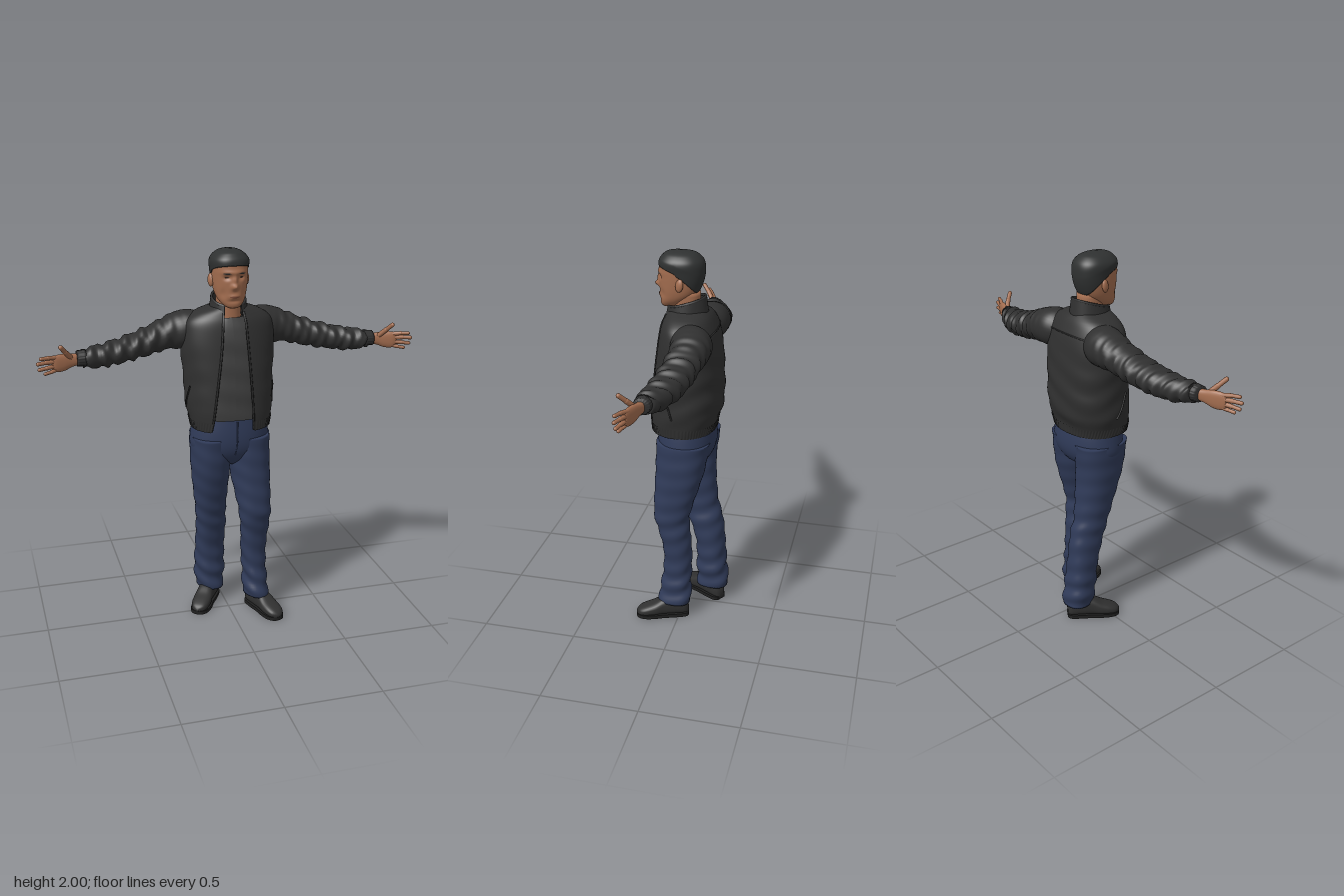
import * as THREE from 'three';

const material = (name, color, side = THREE.FrontSide) => {
  const m = new THREE.MeshStandardMaterial({ color, side });
  m.name = name;
  return m;
};
const TAU = Math.PI * 2;
const se = (v, e) => Math.sign(v) * Math.abs(v) ** (2 / e);
const bell = (v, c, w) => Math.exp(-(((v - c) / w) ** 2));

// Smooth interpolation of table rows, keyed on the first column
function at(rows, k) {
  let i = 0;
  while (i < rows.length - 2 && k > rows[i + 1][0]) i++;
  const a = rows[i], b = rows[i + 1], p = rows[i - 1] || a, q = rows[i + 2] || b;
  const h = b[0] - a[0], u = (k - a[0]) / h, u2 = u * u, u3 = u2 * u;
  return a.map((v, c) => {
    const m0 = (b[c] - p[c]) / (b[0] - p[0]) * h, m1 = (q[c] - v) / (q[0] - a[0]) * h;
    return v * (2 * u3 - 3 * u2 + 1) + m0 * (u3 - 2 * u2 + u) + b[c] * (3 * u2 - 2 * u3) + m1 * (u3 - u2);
  });
}

// Skin over rings: point(s, u) with u running once around; closed lofts get end caps
function loft(point, s0, s1, m, n, open = false) {
  const pos = [], idx = [], cols = open ? n + 1 : n;
  for (let i = 0; i <= m; i++)
    for (let j = 0; j < cols; j++) pos.push(...point(s0 + (s1 - s0) * i / m, j / n));
  for (let i = 0; i < m; i++) for (let j = 0; j < n; j++) {
    const a = i * cols + j, b = i * cols + (j + 1) % cols, c = a + cols, d = b + cols;
    idx.push(a, b, d, a, d, c);
  }
  if (!open) for (const i of [0, m]) {
    const mid = [0, 0, 0], base = i * n, k = pos.length / 3;
    for (let j = 0; j < n; j++) for (let c = 0; c < 3; c++) mid[c] += pos[(base + j) * 3 + c] / n;
    pos.push(...mid);
    for (let j = 0; j < n; j++) {
      const a = base + j, b = base + (j + 1) % n;
      idx.push(...(i ? [a, b, k] : [b, a, k]));
    }
  }
  const g = new THREE.BufferGeometry();
  g.setAttribute('position', new THREE.Float32BufferAttribute(pos, 3));
  g.setIndex(idx);
  g.computeVertexNormals();
  return g;
}

// Upright section row: [y, xMin, xMax, zMin, zMax]
const upright = (rows, e = 2.2, bump = () => 0) => (s, u) => {
  const [y, x1, x2, z1, z2] = at(rows, s), t = u * TAU, d = bump(y, t);
  return [(x1 + x2) / 2 + ((x2 - x1) / 2 + d) * se(Math.sin(t), e), y,
    (z1 + z2) / 2 + ((z2 - z1) / 2 + d) * se(Math.cos(t), e)];
};
// Sideways section row: [x, yMin, yMax, zMin, zMax]
const sideways = (rows, e = 2.2, bump = () => 0) => (s, u) => {
  const [x, y1, y2, z1, z2] = at(rows, s), t = u * TAU, d = bump(x, t);
  return [x, (y1 + y2) / 2 + ((y2 - y1) / 2 + d) * se(Math.cos(t), e),
    (z1 + z2) / 2 + ((z2 - z1) / 2 + d) * se(Math.sin(t), e)];
};

export function createModel() {
  const model = new THREE.Group();
  const jacketMat = material('jacket cloth', 0x303030, THREE.DoubleSide);
  const trimMat = material('jacket trim', 0x242424);
  const shirtMat = material('shirt cloth', 0x3f3f3f, THREE.DoubleSide);
  const denim = material('trouser cloth', 0x303b59);
  const skin = material('skin', 0xa36d4f);
  const hairMat = material('hair', 0x2f3131, THREE.DoubleSide);
  const shoeMat = material('shoe leather', 0x303030);
  const soleMat = material('shoe sole', 0x202020);
  const lipMat = material('lips', 0x7a4a38, THREE.DoubleSide);
  const eyeMat = material('eyes', 0x35241c, THREE.DoubleSide);
  const add = (name, geo, mat, parent = model) => {
    const mesh = new THREE.Mesh(geo, mat);
    mesh.name = name;
    parent.add(mesh);
    return mesh;
  };
  const cord = (name, pts, r, mat) => add(name, new THREE.TubeGeometry(
    new THREE.CatmullRomCurve3(pts.map(p => new THREE.Vector3(...p))), 32, r, 6), mat);

  // Trousers: hips and two legs, the left one stepping forward
  const hips = [[0.87, -0.03, 0.04, -0.06, 0.05], [0.91, -0.15, 0.16, -0.12, 0.1], [0.97, -0.198, 0.212, -0.155, 0.13],
    [1.05, -0.198, 0.212, -0.16, 0.137], [1.17, -0.18, 0.19, -0.14, 0.125]];
  add('hips', loft(upright(hips), 0.87, 1.17, 16, 40), denim);
  const folds = (y, t) => 0.004 * Math.sin(y * 62 + 2.2 * Math.sin(t + 0.6)) * (0.35 + bell(y, 0.17, 0.13) + 0.5 * bell(y, 0.55, 0.1))
    + 0.003 * Math.sin(3 * t + y * 9);
  const legs = {
    left: [[0.085, 0.085, 0.218, -0.06, 0.112], [0.13, 0.08, 0.215, -0.063, 0.11], [0.2, 0.08, 0.207, -0.06, 0.098], [0.35, 0.068, 0.2, -0.06, 0.09],
      [0.5, 0.06, 0.208, -0.05, 0.112], [0.6, 0.048, 0.214, -0.045, 0.138], [0.85, 0.008, 0.22, -0.12, 0.132], [1.03, 0.0, 0.214, -0.15, 0.13]],
    right: [[0.085, -0.142, 0.0, -0.226, -0.055], [0.13, -0.15, 0.004, -0.224, -0.055], [0.2, -0.156, 0.006, -0.215, -0.05], [0.35, -0.156, 0.0, -0.2, -0.04],
      [0.5, -0.158, 0.0, -0.183, 0.0], [0.6, -0.166, -0.005, -0.157, 0.03], [0.85, -0.193, 0.008, -0.145, 0.108], [1.03, -0.202, 0.01, -0.16, 0.13]],
  };
  for (const [side, rows] of Object.entries(legs))
    add(side + 'TrouserLeg', loft(upright(rows, 2.3, folds), 0.085, 1.03, 90, 40), denim);
  cord('trouserFly', [[0.012, 1.13, 0.131], [0.012, 1.04, 0.138], [0.005, 0.95, 0.124]], 0.004, denim);

  // Shoes: leather upper over a flat sole; rows are [z, half width, top]
  const shoe = [[-0.14, 0.022, 0.055], [-0.12, 0.04, 0.095], [-0.06, 0.045, 0.115], [0, 0.045, 0.105], [0.05, 0.05, 0.08],
    [0.1, 0.047, 0.062], [0.13, 0.034, 0.048], [0.145, 0.012, 0.034]];
  const upper = (s, u) => {
    const [z, w, h] = at(shoe, s), t = u * TAU;
    return [-w * se(Math.sin(t), 2.6), h / 2 + 0.004 + (h / 2 - 0.004) * se(Math.cos(t), 2.6), z];
  };
  const outline = [...shoe.map(r => [r[1] + 0.004, r[0]]), ...shoe.slice().reverse().map(r => [-r[1] - 0.004, r[0]])];
  const sole = new THREE.Shape();
  sole.setFromPoints(new THREE.SplineCurve(outline.map(([x, z]) => new THREE.Vector2(x, -z))).getPoints(60));
  for (const [side, x, z, turn] of [['left', 0.178, 0.088, 0.33], ['right', -0.113, -0.075, -0.56]]) {
    const foot = new THREE.Group();
    foot.name = side + 'Shoe';
    foot.position.set(x, 0, z);
    foot.rotation.y = turn;
    add('shoeUpper', loft(upper, -0.14, 0.145, 40, 28), shoeMat, foot);
    add('shoeSole', new THREE.ExtrudeGeometry(sole, { depth: 0.02, bevelEnabled: false }).rotateX(-Math.PI / 2), soleMat, foot);
    model.add(foot);
  }

  // Shirt
  const shirt = [[1.14, -0.185, 0.195, -0.14, 0.143], [1.3, -0.2, 0.2, -0.16, 0.138], [1.5, -0.2, 0.2, -0.15, 0.118],
    [1.6, -0.17, 0.17, -0.13, 0.098], [1.66, -0.085, 0.085, -0.09, 0.066]];
  add('shirt', loft(upright(shirt, 2.4, (y, t) => 0.002 * Math.sin(y * 50 + 3 * Math.sin(t))), 1.14, 1.66, 40, 48, true), shirtMat);

  // Jacket, open at the front; the last two columns are the x of its front edges
  const jacketRows = [[1.09, -0.198, 0.21, -0.16, 0.166, -0.125, 0.092], [1.135, -0.208, 0.218, -0.168, 0.169, -0.118, 0.09],
    [1.2, -0.222, 0.227, -0.19, 0.168, -0.11, 0.088], [1.35, -0.23, 0.232, -0.193, 0.155, -0.09, 0.08], [1.5, -0.242, 0.24, -0.182, 0.137, -0.07, 0.07],
    [1.6, -0.235, 0.235, -0.165, 0.122, -0.06, 0.063], [1.65, -0.215, 0.215, -0.145, 0.11, -0.055, 0.06],
    [1.685, -0.165, 0.165, -0.125, 0.095, -0.05, 0.055], [1.71, -0.095, 0.095, -0.1, 0.085, -0.045, 0.05]];
  const jacket = (s, u, out = 0) => {
    const e = 2.3, [y, x1, x2, z1, z2, gl, gr] = at(jacketRows, s), cx = (x1 + x2) / 2, a = (x2 - x1) / 2;
    const edge = x => Math.asin((Math.abs(x - cx) / a) ** (e / 2));
    const t = edge(gr) + u * (TAU - edge(gr) - edge(gl));
    const d = out + 0.0035 * Math.sin(y * 48 + 3 * Math.sin(t * 2)) * Math.sin(Math.PI * u) * bell(y, 1.3, 0.2);
    return [cx + (a + d) * se(Math.sin(t), e), y, (z1 + z2) / 2 + ((z2 - z1) / 2 + d) * se(Math.cos(t), e)];
  };
  add('jacketBody', loft(jacket, 1.09, 1.71, 60, 72, true), jacketMat);
  add('jacketHem', loft((s, u) => jacket(s, u, 0.004 + 0.0015 * Math.cos(u * TAU * 60)), 1.085, 1.135, 4, 240, true), jacketMat);
  const along = f => Array.from({ length: 12 }, (_, i) => f(i / 11));
  for (const [side, u, w] of [['left', 0, 0.2], ['right', 1, 0.8]]) {
    cord(side + 'ZipEdge', along(k => jacket(1.09 + 0.6 * k, u)), 0.006, trimMat);
    cord(side + 'PocketWelt', along(k => jacket(1.19 + 0.13 * k, w + (u ? 1 : -1) * 0.05 * k, 0.001)), 0.005, trimMat);
  }
  cord('backYokeSeam', along(k => jacket(1.6 + 0.015 * Math.sin(k * Math.PI), 0.33 + 0.34 * k)), 0.004, jacketMat);

  // Stand collar, higher at the back
  const collar = (s, u) => {
    const t = 0.5 + u * (TAU - 1), c = Math.cos(t), r = 0.098 - 0.01 * s;
    return [r * Math.sin(t), 1.685 + 0.062 * s - c * (0.012 + 0.016 * s), -0.002 + (r + 0.012) * c];
  };
  add('collar', loft(collar, 0, 1, 6, 48, true), jacketMat);
  add('collarLining', loft((s, u) => { const [x, y, z] = collar(s, u); return [x * 0.9, y, z * 0.9]; }, 0, 1, 6, 48, true), jacketMat);
  cord('collarEdge', along(k => { const [x, y, z] = collar(1, k); return [x * 0.95, y, z * 0.95]; }), 0.007, jacketMat);

  // Arms and hands, mirrored
  const sleeve = [[0.1, 1.5, 1.65, -0.13, 0.05], [0.17, 1.485, 1.68, -0.17, 0.04], [0.24, 1.485, 1.677, -0.176, 0.025], [0.3, 1.488, 1.655, -0.168, 0.015],
    [0.4, 1.467, 1.612, -0.147, 0.02], [0.5, 1.45, 1.578, -0.13, 0.035], [0.6, 1.437, 1.555, -0.102, 0.05], [0.7, 1.438, 1.54, -0.06, 0.062], [0.745, 1.45, 1.535, -0.03, 0.062]];
  const creases = (x, t) => (0.0055 * Math.sin(x * 85 + 2.5 * Math.sin(t + x * 5)) + 0.003 * Math.sin(x * 140 - 3 * Math.cos(t))) * Math.min(1, Math.max(0, (x - 0.2) * 5));
  const cuff = [[0.73, 1.454, 1.536, -0.028, 0.062], [0.775, 1.456, 1.532, -0.018, 0.06]];
  const palm = [[0.76, 1.465, 1.518, -0.002, 0.044], [0.8, 1.457, 1.522, 0.012, 0.05], [0.84, 1.443, 1.528, 0.024, 0.06], [0.88, 1.443, 1.526, 0.04, 0.068], [0.9, 1.458, 1.515, 0.05, 0.066]];
  const fingers = {
    indexFinger: [[0.875, 1.514, 0.052], [0.918, 1.52, 0.072], [0.953, 1.521, 0.086], 0.0105],
    middleFinger: [[0.88, 1.495, 0.054], [0.93, 1.497, 0.07], [0.968, 1.496, 0.084], 0.011],
    ringFinger: [[0.88, 1.474, 0.054], [0.925, 1.47, 0.07], [0.962, 1.466, 0.08], 0.0105],
    littleFinger: [[0.87, 1.456, 0.05], [0.905, 1.448, 0.066], [0.935, 1.443, 0.076], 0.0095],
    thumb: [[0.805, 1.505, 0.038], [0.835, 1.543, 0.068], [0.857, 1.574, 0.096], 0.013],
  };
  for (const side of [1, -1]) {
    const arm = new THREE.Group();
    arm.name = side > 0 ? 'leftArm' : 'rightArm';
    arm.scale.x = side;
    add('sleeve', loft(sideways(sleeve, 2.1, creases), 0.1, 0.745, 110, 36), jacketMat, arm);
    add('cuff', loft(sideways(cuff, 2.1, (x, t) => 0.001 * Math.cos(t * 18)), 0.73, 0.775, 4, 72), jacketMat, arm);
    add('palm', loft(sideways(palm, 2.4), 0.76, 0.9, 20, 24), skin, arm);
    for (const [name, [p0, p1, p2, r]] of Object.entries(fingers)) {
      [[p0, p1, r], [p1, p2, r * 0.88]].forEach(([from, to, rad]) => {
        const a = new THREE.Vector3(...from), b = new THREE.Vector3(...to), d = b.clone().sub(a);
        const bone = add(name, new THREE.CapsuleGeometry(rad, d.length(), 5, 12), skin, arm);
        bone.position.copy(a).add(b).multiplyScalar(0.5);
        bone.quaternion.setFromUnitVectors(new THREE.Vector3(0, 1, 0), d.normalize());
      });
    }
    model.add(arm);
  }

  // Neck and head, with the features pressed into the face
  const neck = [[1.6, -0.075, 0.075, -0.085, 0.062], [1.68, -0.062, 0.062, -0.078, 0.06], [1.8, -0.062, 0.062, -0.07, 0.06]];
  add('neck', loft(upright(neck), 1.6, 1.8, 10, 32), skin);
  const headRows = [[1.718, -0.028, 0.022, 0.07, 0.118], [1.728, -0.046, 0.04, 0.035, 0.127], [1.755, -0.069, 0.062, -0.01, 0.13], [1.79, -0.082, 0.075, -0.055, 0.132],
    [1.84, -0.09, 0.083, -0.077, 0.133], [1.9, -0.093, 0.086, -0.084, 0.136], [1.945, -0.091, 0.084, -0.078, 0.13], [1.973, -0.07, 0.063, -0.055, 0.11],
    [1.987, -0.042, 0.036, -0.025, 0.085], [1.992, -0.008, 0.004, 0.025, 0.04]];
  const headBase = upright(headRows, 2.3);
  const head = (s, u) => {
    const [x, y, z] = headBase(s, u), fx = x + 0.003;
    if (z < 0.05) return [x, y, z];
    const d = 0.026 * bell(y, 1.827, 0.015) * bell(fx, 0, 0.015) + 0.014 * bell(y, 1.858, 0.022) * bell(fx, 0, 0.011)
      - 0.012 * bell(y, 1.872, 0.014) * bell(Math.abs(fx), 0.035, 0.018) + 0.006 * bell(y, 1.896, 0.012) * bell(fx, 0, 0.06)
      + 0.007 * bell(y, 1.778, 0.012) * bell(fx, 0, 0.025) - 0.004 * bell(y, 1.755, 0.008) * bell(fx, 0, 0.03)
      - 0.006 * bell(y, 1.79, 0.025) * bell(Math.abs(fx), 0.055, 0.015);
    return [x, y, z + d];
  };
  add('head', loft(head, 1.718, 1.992, 80, 96), skin);
  // Thin plate lying on the face, spanning u0..u1 around and tapering to its ends
  const plate = (name, y, h, u0, u1, mat) => add(name, loft((s, u) => {
    const [px, py, pz] = head(y + s * h * (0.25 + 0.75 * Math.sin(Math.PI * u)), (u0 + (u1 - u0) * u + 1) % 1);
    return [px, py, pz + 0.0025];
  }, -0.5, 0.5, 4, 14, true), mat);
  for (const [side, k] of [['left', 1], ['right', -1]]) {
    const [a, b] = [0.028, 0.098].map(v => v * k).sort((p, q) => p - q);
    plate(side + 'Eyebrow', 1.892, 0.009, a, b, hairMat);
    plate(side + 'Eye', 1.872, 0.009, k > 0 ? 0.04 : -0.082, k > 0 ? 0.082 : -0.04, eyeMat);
    const ear = add(side + 'Ear', new THREE.SphereGeometry(1, 20, 14), skin);
    ear.scale.set(0.013, 0.033, 0.021);
    ear.position.set(-0.003 + k * 0.092, 1.845, 0.015);
    ear.rotation.set(-0.15, k * -0.35, 0);
  }
  plate('mouth', 1.777, 0.01, -0.045, 0.045, lipMat);

  // Short hair: a cap whose edge drops from the forehead to the nape
  add('hair', loft((s, u) => {
    const c = Math.cos(u * TAU), low = c > 0 ? 1.885 + 0.045 * Math.sqrt(c) : 1.885 + 0.095 * c;
    const y = low + (1.992 - low) * Math.sin(s * Math.PI / 2), [x, , z] = headBase(y, u);
    const grow = 1 + 0.09 * Math.min(1, 0.4 + s * 2);
    return [-0.0035 + (x + 0.0035) * grow, y + 0.008 * s, 0.025 + (z - 0.025) * grow];
  }, 0, 1, 36, 64), hairMat);
  return model;
}
